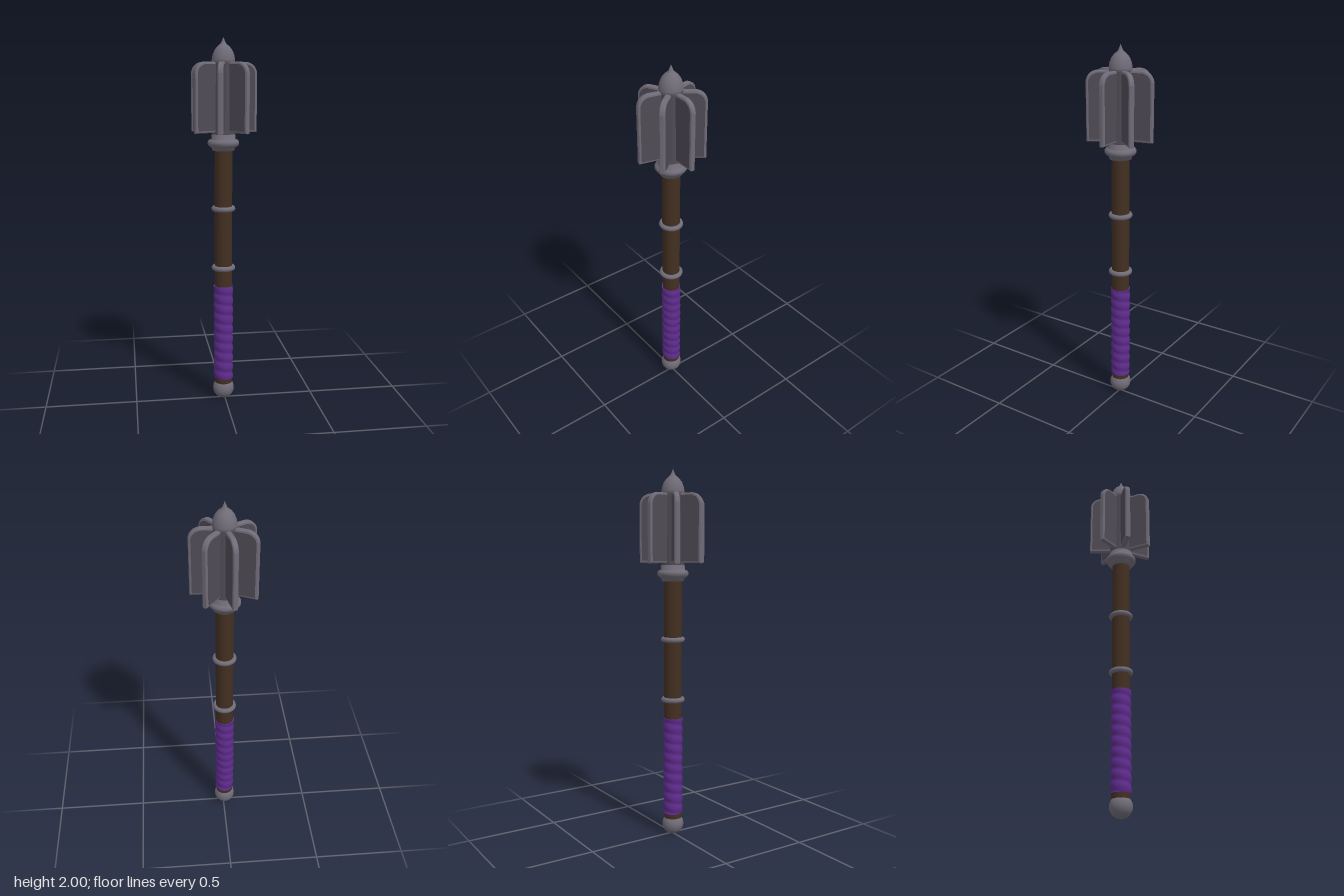
import * as THREE from 'three';

const metal = new THREE.MeshStandardMaterial({ name: 'grey steel', color: 0x6f6b77 });
const dark = new THREE.MeshStandardMaterial({ name: 'dark steel', color: 0x4f4b55 });
const wood = new THREE.MeshStandardMaterial({ name: 'dark wood', color: 0x432f21 });
const cloth = new THREE.MeshStandardMaterial({ name: 'purple wrap', color: 0x5e2b8c });

export function createModel() {
  const mace = new THREE.Group();
  mace.name = 'mace';

  const add = (name, geometry, material, y = 0) => {
    const mesh = new THREE.Mesh(geometry, material);
    mesh.name = name;
    mesh.position.y = y;
    mace.add(mesh);
    return mesh;
  };
  const lathe = (pairs, segments = 28) =>
    new THREE.LatheGeometry(pairs.map(([r, y]) => new THREE.Vector2(r, y)), segments);

  // Pommel and shaft
  add('pommel', new THREE.SphereGeometry(0.059, 28, 18), metal, 0.064);
  add('shaft', new THREE.CylinderGeometry(0.048, 0.048, 1.33, 24), wood, 0.765);

  // Grip wrapped in a spiral of overlapping cloth
  const grip = new THREE.CylinderGeometry(0.05, 0.05, 0.54, 28, 90);
  const pos = grip.attributes.position;
  for (let i = 0; i < pos.count; i++) {
    const x = pos.getX(i), y = pos.getY(i), z = pos.getZ(i);
    if (Math.hypot(x, z) < 0.01) continue;
    const wave = Math.abs(Math.sin(Math.PI * y / 0.056 + Math.atan2(x, z) / 2));
    const k = (0.0485 + 0.006 * wave) / 0.05;
    pos.setXYZ(i, x * k, y, z * k);
  }
  grip.computeVertexNormals();
  add('grip', grip, cloth, 0.397);

  // Shaft rings
  for (const y of [0.77, 1.1]) {
    const ring = add('shaftRing', new THREE.TorusGeometry(0.051, 0.014, 12, 32), metal, y);
    ring.rotation.x = Math.PI / 2;
  }

  // Flared collar below the head
  add('collar', lathe([
    [0.045, 1.412], [0.059, 1.414], [0.063, 1.43], [0.077, 1.438], [0.084, 1.449],
    [0.084, 1.46], [0.077, 1.47], [0.064, 1.475], [0.063, 1.5], [0.05, 1.51],
  ]), metal);
  add('headCore', new THREE.CylinderGeometry(0.058, 0.062, 0.39, 28), dark, 1.685);

  // Domed finial with a spike
  add('finial', lathe([
    [0.045, 1.86], [0.06, 1.868], [0.061, 1.885], [0.057, 1.908], [0.048, 1.931],
    [0.036, 1.948], [0.023, 1.959], [0.014, 1.967], [0.008, 1.98], [0.0, 2.0],
  ]), metal);

  // Seven radial flanges: dark sides with a bevelled lighter rim
  const bevel = 0.012, outer = 0.177 - bevel, low = 1.51 + bevel, high = 1.874 - bevel;
  const profile = new THREE.Shape();
  profile.moveTo(0.02, low);
  profile.lineTo(outer, low);
  profile.lineTo(outer, high - 0.045);
  profile.quadraticCurveTo(outer - 0.006, high - 0.008, outer - 0.045, high);
  profile.lineTo(0.02, high);
  profile.closePath();
  const flange = new THREE.ExtrudeGeometry(profile, {
    depth: 0.018, bevelEnabled: true, bevelSize: bevel, bevelThickness: 0.006,
    bevelSegments: 2, curveSegments: 8,
  });
  flange.translate(0, 0, -0.009);
  for (let i = 0; i < 7; i++) {
    add('flange', flange, [dark, metal]).rotation.y = i * Math.PI * 2 / 7;
  }

  // Centre the uneven ring of flanges on x = 0
  mace.position.x = -0.007;
  const model = new THREE.Group();
  model.name = 'flangedMace';
  model.add(mace);
  return model;
}
